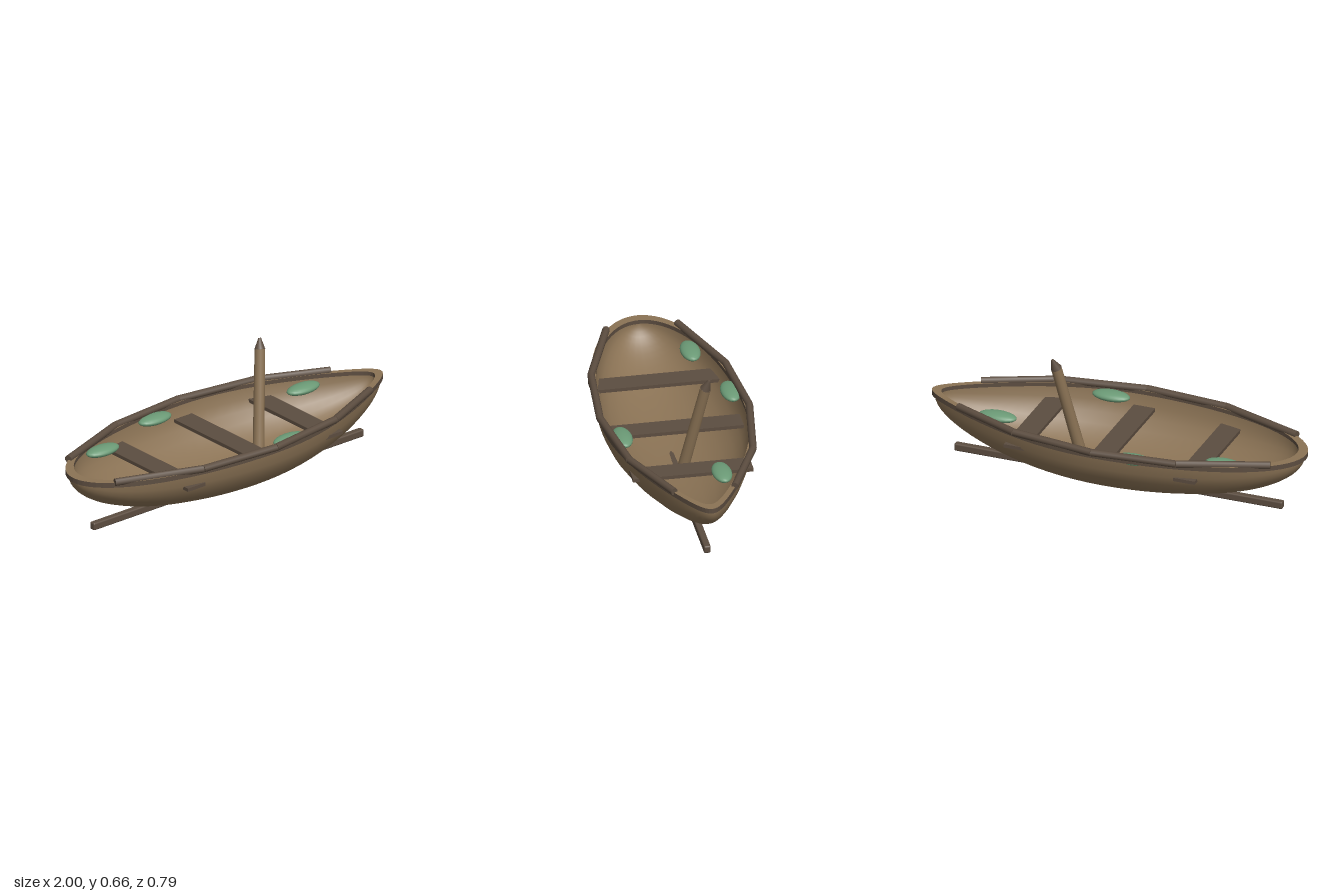
import * as THREE from 'three';
import { RoundedBoxGeometry } from 'three/addons/geometries/RoundedBoxGeometry.js';

const paint = (name, color) => {
  const m = new THREE.MeshStandardMaterial({ color });
  m.name = name;
  return m;
};

// Half-width factor: the bow (+x) narrows, the stern stays round
const taper = (x) => (x > 0 ? 1 - 0.5 * x * x : 1);

// Half-ellipsoid shell; side = 1 faces up and in, side = -1 faces down and out
function shell(length, depth, width, top, side) {
  const geo = new THREE.PlaneGeometry(1, 1, 40, 14);
  const p = geo.attributes.position;
  for (let i = 0; i < p.count; i++) {
    const a = (p.getX(i) + 0.5) * Math.PI;
    const phi = p.getY(i) * Math.PI;
    const x = -Math.cos(a), r = Math.sin(a);
    p.setXYZ(i, x * length, top - depth * r * Math.cos(phi),
      -side * width * taper(x) * r * Math.sin(phi));
  }
  geo.computeVertexNormals();
  return geo;
}

// Plan outline of the boat
function outline(length, width) {
  const pts = [];
  for (let i = 0; i < 80; i++) {
    const a = (i / 80) * Math.PI * 2, x = Math.cos(a);
    pts.push(new THREE.Vector2(x * length, Math.sin(a) * width * taper(x)));
  }
  return pts;
}

// Tapered round bar between two points
function bar(from, to, r0, r1, sides) {
  const a = new THREE.Vector3(...from), b = new THREE.Vector3(...to);
  const dir = b.clone().sub(a);
  const geo = new THREE.CylinderGeometry(r1, r0, dir.length(), sides);
  geo.applyQuaternion(new THREE.Quaternion().setFromUnitVectors(
    new THREE.Vector3(0, 1, 0), dir.normalize()));
  const mid = a.add(b).multiplyScalar(0.5);
  return geo.translate(mid.x, mid.y, mid.z);
}

export function createModel() {
  const group = new THREE.Group();
  group.name = 'rowingBoat';
  const wood = paint('wood', 0x8b7355);
  const darkWood = paint('dark wood', 0x5c4d40);
  const moss = paint('moss green', 0x6b9a76);
  const add = (name, geo, mat) => {
    const mesh = new THREE.Mesh(geo, mat);
    mesh.name = name;
    group.add(mesh);
    return mesh;
  };

  // Hull skins
  add('hullOutside', shell(0.985, 0.285, 0.375, 0.297, -1), wood);
  add('hullInside', shell(0.95, 0.262, 0.355, 0.3, 1), wood);

  // Rim: wooden top edge with dark sides
  const ring = new THREE.Shape(outline(1, 0.38));
  ring.holes.push(new THREE.Path(outline(0.95, 0.355)));
  const rim = new THREE.ExtrudeGeometry(ring, { depth: 0.026, bevelEnabled: false });
  rim.rotateX(-Math.PI / 2).translate(0, 0.295, 0);
  add('rim', rim, [wood, darkWood]);

  // Gunwale logs along both sides
  const path = [[-0.88, 0.18], [-0.44, 0.34], [0, 0.378], [0.44, 0.313], [0.8, 0.153]];
  for (const side of [1, -1]) {
    for (let i = 0; i < path.length - 1; i++) {
      const [x0, z0] = path[i], [x1, z1] = path[i + 1];
      add('gunwaleLog', bar([x0, 0.325, side * z0], [x1, 0.325, side * z1], 0.019, 0.019, 10), darkWood);
    }
  }

  // Seats, with the outer two let through the hull
  for (const [x, half] of [[-0.48, 0.338], [0, 0.34], [0.44, 0.305]]) {
    const seat = new THREE.BoxGeometry(0.115, 0.018, half * 2);
    add('seat', seat.translate(x, 0.235, 0), darkWood);
  }

  // Keel beam
  const keel = new RoundedBoxGeometry(1.755, 0.04, 0.035, 2, 0.008);
  add('keel', keel.translate(0, 0.02, 0), darkWood);

  // Leaning post with a dark point
  add('post', bar([0.2, 0.08, 0.005], [0.297, 0.608, -0.099], 0.03, 0.027, 12), wood);
  add('postTip', bar([0.297, 0.608, -0.099], [0.311, 0.66, -0.117], 0.028, 0.007, 12), darkWood);

  // Moss cushions
  for (const [x, z] of [[-0.64, -0.2], [-0.2, -0.32], [0.6, -0.125], [0.16, 0.295]]) {
    const pad = new THREE.SphereGeometry(1, 20, 12);
    add('mossPatch', pad.scale(0.1, 0.025, 0.05).translate(x, 0.296, z), moss);
  }
  return group;
}
